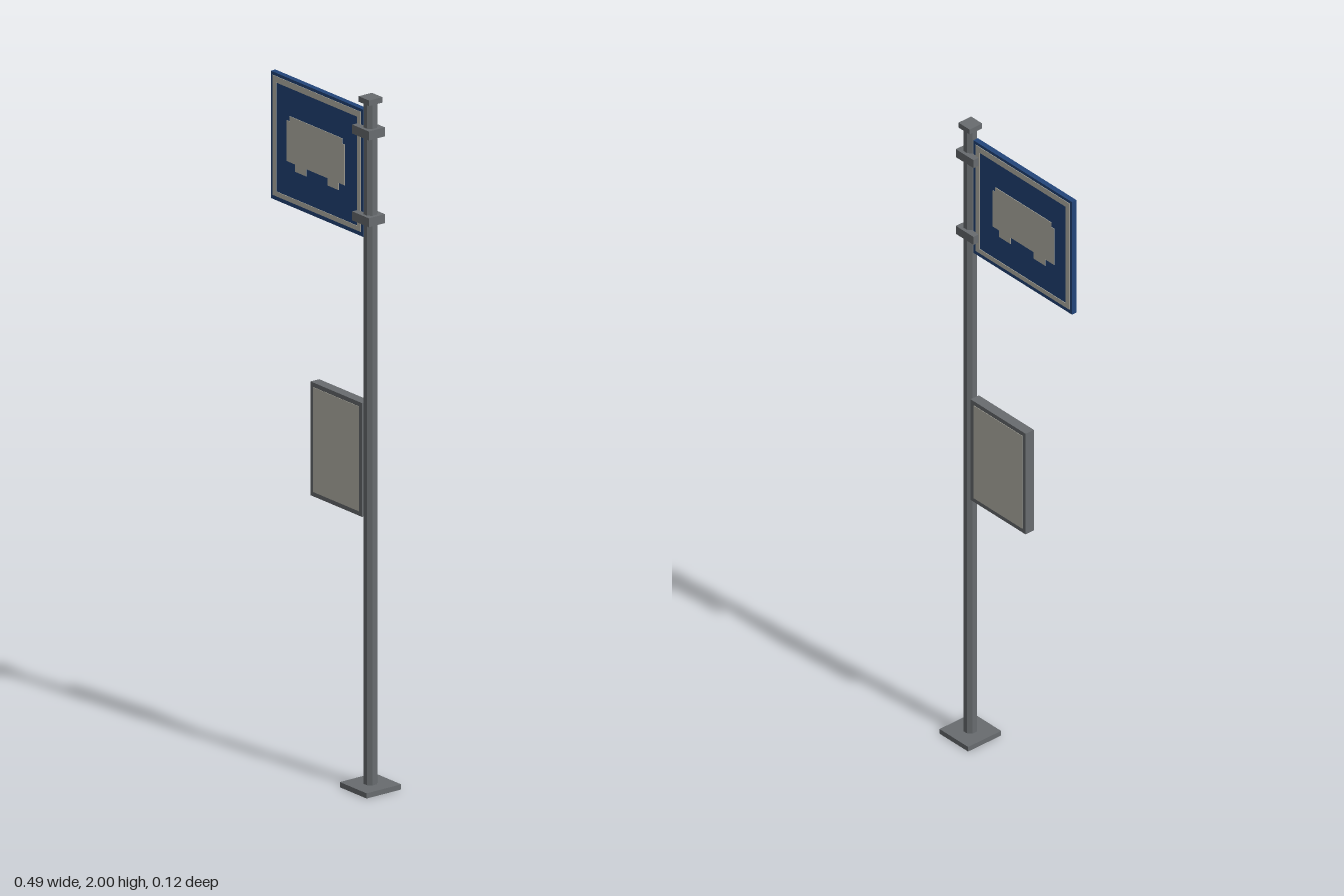
import * as THREE from 'three';

const mat = (name, color) => Object.assign(new THREE.MeshStandardMaterial({ color }), { name });

export function createModel() {
  const grey = mat('galvanised grey', 0x686c6f);
  const blue = mat('sign blue', 0x22457a);
  const cream = mat('sign cream', 0xb9b7ac);
  const model = new THREE.Group();

  const add = (name, geometry, material, x, y, z = 0) => {
    const mesh = new THREE.Mesh(geometry, material);
    mesh.name = name;
    mesh.position.set(x, y, z);
    model.add(mesh);
    return mesh;
  };
  // Box given by its x and y limits and its full depth
  const box = (name, material, x0, x1, y0, y1, depth, z = 0) =>
    add(name, new THREE.BoxGeometry(x1 - x0, y1 - y0, depth), material, (x0 + x1) / 2, (y0 + y1) / 2, z);
  const loop = (points) => points.map(([x, y]) => new THREE.Vector2(x, y));
  const rect = (x0, x1, y0, y1) => loop([[x0, y0], [x1, y0], [x1, y1], [x0, y1]]);
  // Thin painted plate centred on a depth
  const plate = (name, shape, z) => {
    const depth = 0.002;
    const geometry = new THREE.ExtrudeGeometry(shape, { depth, bevelEnabled: false });
    add(name, geometry, cream, 0, 0, z - depth / 2);
  };

  // Post, foot, cap and clamps
  const px = 0.185;
  const pole = new THREE.CylinderGeometry(0.0195, 0.0195, 1.975, 8).toNonIndexed();
  pole.rotateY(Math.PI / 8);
  pole.computeVertexNormals();
  add('pole', pole, grey, px, 1.0);
  box('basePlate', grey, px - 0.059, px + 0.059, 0, 0.015, 0.12);
  box('poleCap', grey, px - 0.023, px + 0.023, 1.984, 2, 0.046);
  for (const y of [1.649, 1.9]) box('signClamp', grey, 0.14, 0.213, y - 0.013, y + 0.013, 0.056);

  // Stop sign
  box('signBoard', blue, -0.244, 0.163, 1.59, 1.958, 0.016);
  const border = new THREE.Shape(rect(-0.235, 0.153, 1.602, 1.949));
  border.holes.push(new THREE.Path(rect(-0.219, 0.137, 1.616, 1.931)));

  // Bus pictogram with stepped roof corners and two wheels
  const bus = new THREE.Shape(loop([
    [-0.172, 1.717], [-0.135, 1.717], [-0.135, 1.696], [-0.087, 1.696], [-0.087, 1.717],
    [0.008, 1.717], [0.008, 1.696], [0.056, 1.696], [0.056, 1.717], [0.082, 1.717],
    [0.082, 1.835], [0.072, 1.835], [0.072, 1.85], [-0.16, 1.85], [-0.16, 1.835], [-0.172, 1.835],
  ]));

  // Timetable case
  box('timetableCase', grey, -0.06, 0.167, 0.783, 1.112, 0.03);

  // Painted faces on both sides
  for (const side of [1, -1]) {
    plate('signBorder', border, side * 0.0085);
    plate('busPictogram', bus, side * 0.0085);
    box('timetableSheet', cream, -0.047, 0.154, 0.796, 1.099, 0.002, side * 0.0152);
  }
  return model;
}
